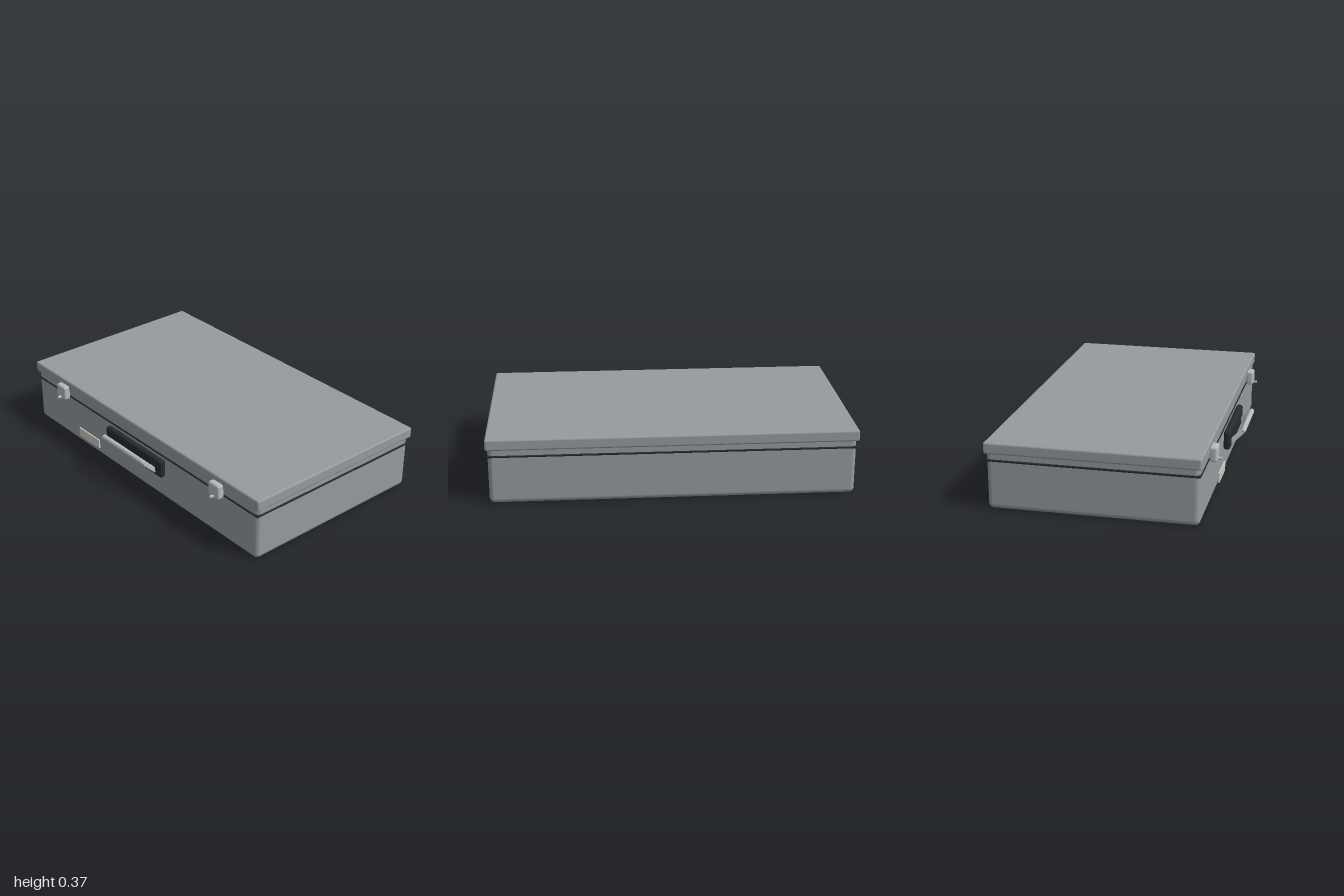
import * as THREE from 'three';
import { RoundedBoxGeometry } from 'three/addons/geometries/RoundedBoxGeometry.js';

const mat = (color) => new THREE.MeshStandardMaterial({ color });

export function createModel() {
  const model = new THREE.Group();
  model.name = 'case';
  const shell = mat(0x949b9f), dark = mat(0x272b2e), metal = mat(0xb4babd), paper = mat(0xc9cbc0);

  const add = (name, geometry, material, x = 0, y = 0, z = 0, parent = model) => {
    const mesh = new THREE.Mesh(geometry, material);
    mesh.name = name;
    mesh.position.set(x, y, z);
    parent.add(mesh);
    return mesh;
  };
  // Rounded box given by its extents on each axis
  const block = (name, material, [x0, x1], [y0, y1], [z0, z1], radius, parent) =>
    add(name, new RoundedBoxGeometry(x1 - x0, y1 - y0, z1 - z0, 4, radius), material,
      (x0 + x1) / 2, (y0 + y1) / 2, (z0 + z1) / 2, parent);

  // Shell: deep lower body, dark seal around it, overhanging lid
  block('body', shell, [-0.988, 0.988], [0.003, 0.35], [-0.614, 0.506], 0.028);
  block('seal', dark, [-0.994, 0.994], [0.267, 0.279], [-0.618, 0.511], 0.005);
  block('lid', shell, [-1, 1], [0.309, 0.372], [-0.625, 0.515], 0.011);

  // Latches with a small round button
  for (const side of [-1, 1]) {
    const latch = new THREE.Group();
    latch.name = side > 0 ? 'leftLatch' : 'rightLatch';
    const x = side * 0.693;
    block('latchPlate', metal, [x - 0.042, x + 0.042], [0.258, 0.342], [0.508, 0.549], 0.012, latch);
    const button = add('latchButton', new THREE.CylinderGeometry(0.008, 0.008, 0.035, 20), metal, x, 0.27, 0.553, latch);
    button.rotation.x = Math.PI / 2;
    model.add(latch);
  }

  // Name plate standing just off the front wall
  add('labelPlate', new THREE.BoxGeometry(0.195, 0.053, 0.008), paper, -0.439, 0.096, 0.531);

  // Handle backing
  block('handleBase', dark, [-0.253, 0.253], [0.153, 0.262], [0.508, 0.546], 0.016);

  // Tilted handle: local y runs from the hinge outwards to the grip
  const handle = new THREE.Group();
  handle.name = 'handle';
  handle.position.set(0, 0.179, 0.538);
  handle.rotation.x = Math.PI / 4;
  model.add(handle);
  const reach = 0.098;
  const grip = add('grip', new THREE.CapsuleGeometry(0.015, 0.35, 6, 20), metal, 0, reach, 0, handle);
  grip.rotation.z = Math.PI / 2;

  // Arms taper from a wide foot to the grip
  for (const side of [-1, 1]) {
    const arm = new RoundedBoxGeometry(0.014, reach, 0.028, 4, 0.006);
    const p = arm.attributes.position;
    for (let i = 0; i < p.count; i++) {
      const t = 0.5 - p.getY(i) / reach;
      p.setX(i, p.getX(i) * (1 + t) + side * 0.012 * t);
    }
    arm.computeVertexNormals();
    add(side > 0 ? 'leftArm' : 'rightArm', arm, metal, side * 0.18, reach / 2, 0, handle);
  }
  return model;
}
